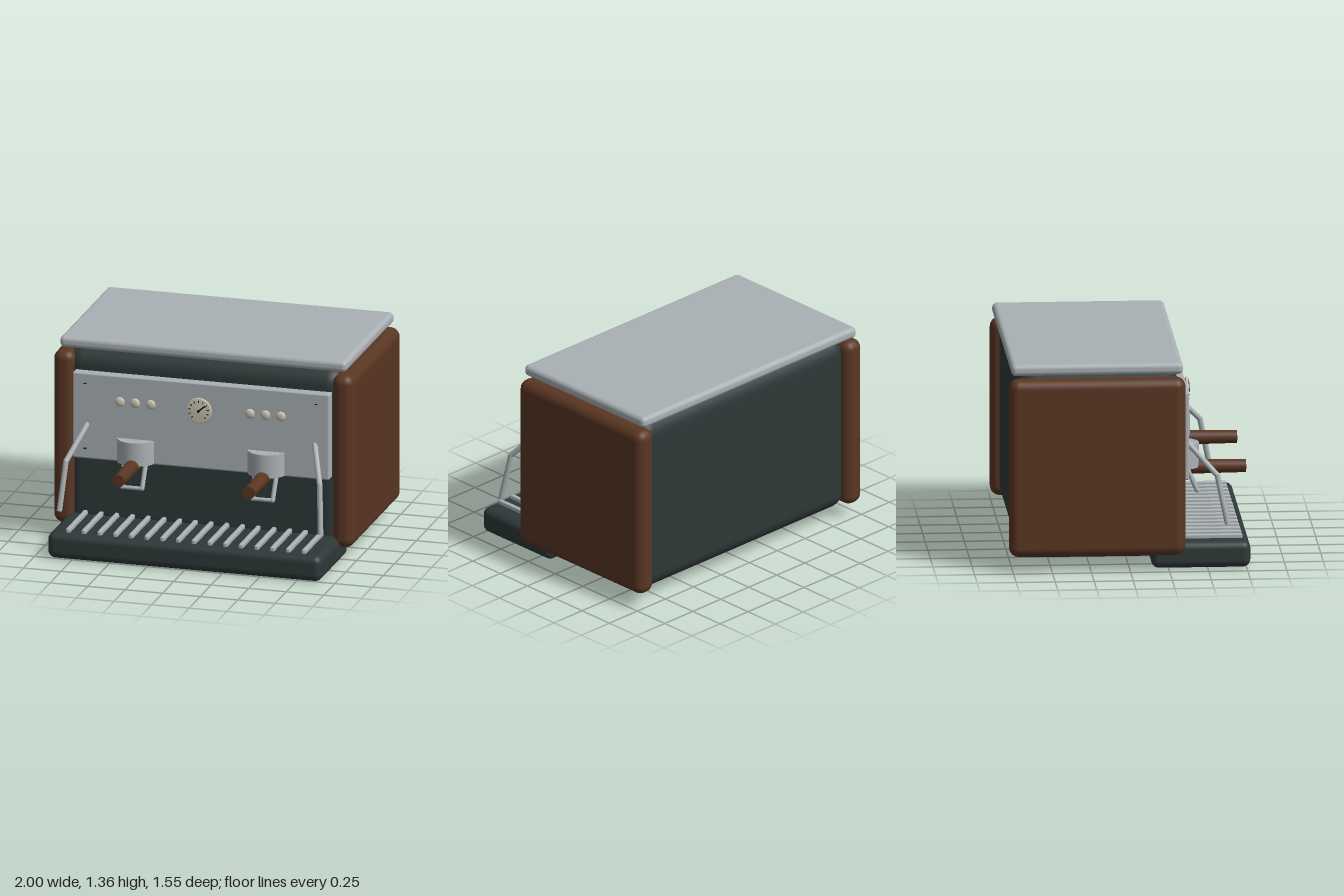
import * as THREE from 'three';
import { RoundedBoxGeometry } from 'three/addons/geometries/RoundedBoxGeometry.js';

export function createModel() {
  const material = (name, color) => {
    const m = new THREE.MeshStandardMaterial({ color });
    m.name = name;
    return m;
  };
  const darkEnamel = material('dark enamel', 0x2e3838);
  const steel = material('steel', 0xaab1b4);
  const wood = material('brown wood', 0x5a3623);
  const cream = material('cream', 0xcdc6b4);
  const black = material('black', 0x151515);

  const root = new THREE.Group();
  root.name = 'espressoMachine';

  const add = (name, geometry, mat, x = 0, y = 0, z = 0, parent = root) => {
    const mesh = new THREE.Mesh(geometry, mat);
    mesh.name = name;
    mesh.position.set(x, y, z);
    parent.add(mesh);
    return mesh;
  };
  // Rounded box from its min and max on each axis
  const block = (name, mat, [x0, x1], [y0, y1], [z0, z1], r) =>
    add(name, new RoundedBoxGeometry(x1 - x0, y1 - y0, z1 - z0, 5, r), mat,
      (x0 + x1) / 2, (y0 + y1) / 2, (z0 + z1) / 2);
  // Straight rod between two points
  const rod = (name, mat, a, b, r, parent) => {
    const from = new THREE.Vector3(...a), to = new THREE.Vector3(...b);
    const dir = to.clone().sub(from);
    const mesh = add(name, new THREE.CylinderGeometry(r, r, dir.length(), 16), mat, 0, 0, 0, parent);
    mesh.position.copy(from).add(to).multiplyScalar(0.5);
    mesh.quaternion.setFromUnitVectors(new THREE.Vector3(0, 1, 0), dir.normalize());
    return mesh;
  };
  const ball = (name, mat, p, r, parent) =>
    add(name, new THREE.SphereGeometry(r, 16, 12), mat, ...p, parent);

  // Housing
  block('body', darkEnamel, [-0.93, 0.93], [0.07, 1.285], [-0.72, 0.325], 0.12);
  block('lid', steel, [-0.955, 0.955], [1.28, 1.355], [-0.76, 0.34], 0.03);
  block('controlPanel', steel, [-0.855, 0.855], [0.565, 1.14], [0.29, 0.385], 0.012);
  block('dripTray', darkEnamel, [-0.913, 0.913], [0, 0.173], [0.14, 0.775], 0.05);
  for (const s of [-1, 1]) {
    const xs = s < 0 ? [-1, -0.857] : [0.857, 1];
    block('sidePanel', wood, xs, [0.1, 1.26], [-0.775, 0.355], 0.062);
  }

  // Drip grate bars
  for (let i = 0; i < 16; i++) {
    const x = -0.785 + i * 0.1047;
    block('grateBar', steel, [x - 0.015, x + 0.015], [0.165, 0.2], [0.22, 0.73], 0.01);
  }

  // Panel screws
  for (const x of [-0.77, 0.77]) {
    for (const y of [0.635, 1.07]) {
      add('screwSlot', new THREE.BoxGeometry(0.018, 0.007, 0.006), black, x, y, 0.386);
    }
  }

  // Buttons
  for (const s of [-1, 1]) {
    for (const x of [0.33, 0.434, 0.536]) {
      const button = add('button', new THREE.SphereGeometry(0.032, 24, 16), cream, s * x, 0.97, 0.395);
      button.scale.z = 0.45;
    }
  }

  // Pressure gauge
  const gauge = new THREE.Group();
  gauge.name = 'gauge';
  gauge.position.set(0, 0.97, 0);
  root.add(gauge);
  rod('gaugeStem', steel, [0, 0, 0.37], [0, 0, 0.42], 0.02, gauge);
  const dialProfile = [[0, -0.01], [0.078, -0.01], [0.085, -0.004], [0.085, 0.004], [0.078, 0.01], [0, 0.012]]
    .map(([r, h]) => new THREE.Vector2(r, h));
  const dial = add('dial', new THREE.LatheGeometry(dialProfile, 40), cream, 0, 0, 0.424, gauge);
  dial.rotation.x = Math.PI / 2;
  for (let i = 0; i < 11; i++) {
    const a = THREE.MathUtils.degToRad(225 - i * 27);
    const tick = add('tick', new THREE.BoxGeometry(0.014, 0.005, 0.005), black,
      0.062 * Math.cos(a), 0.062 * Math.sin(a), 0.4355, gauge);
    tick.rotation.z = a;
  }
  const needle = add('needle', new THREE.BoxGeometry(0.06, 0.009, 0.007), black, 0.02, 0.017, 0.441, gauge);
  needle.rotation.z = 0.7;
  const hub = add('needleHub', new THREE.CylinderGeometry(0.009, 0.009, 0.01, 16), black, 0, 0, 0.44, gauge);
  hub.rotation.x = Math.PI / 2;

  // Brew groups with handle and spout
  for (const x of [-0.435, 0.435]) {
    const group = new THREE.Group();
    group.name = 'brewGroup';
    group.position.x = x;
    root.add(group);
    add('groupHead', new THREE.CylinderGeometry(0.13, 0.13, 0.155, 40), steel, 0, 0.6475, 0.345, group);
    const handle = add('handle', new THREE.CylinderGeometry(0.041, 0.047, 0.365, 24), wood, 0, 0.565, 0.5925, group);
    handle.rotation.x = Math.PI / 2;
    for (const s of [-1, 1]) {
      rod('spoutLeg', steel, [s * 0.072, 0.59, 0.385], [s * 0.066, 0.422, 0.458], 0.015, group);
      ball('spoutCorner', steel, [s * 0.066, 0.422, 0.458], 0.015, group);
    }
    rod('spoutBar', steel, [-0.066, 0.422, 0.458], [0.066, 0.422, 0.458], 0.013, group);
  }

  // Steam wands
  for (const s of [-1, 1]) {
    const wand = new THREE.Group();
    wand.name = 'steamWand';
    root.add(wand);
    const top = [s * 0.757, 0.797, 0.375], bend = [s * 0.845, 0.595, 0.565], tip = [s * 0.87, 0.28, 0.63];
    rod('wandArm', steel, top, bend, 0.018, wand);
    rod('wandPipe', steel, bend, tip, 0.018, wand);
    ball('wandBase', steel, top, 0.018, wand);
    ball('wandBend', steel, bend, 0.018, wand);
  }

  return root;
}
